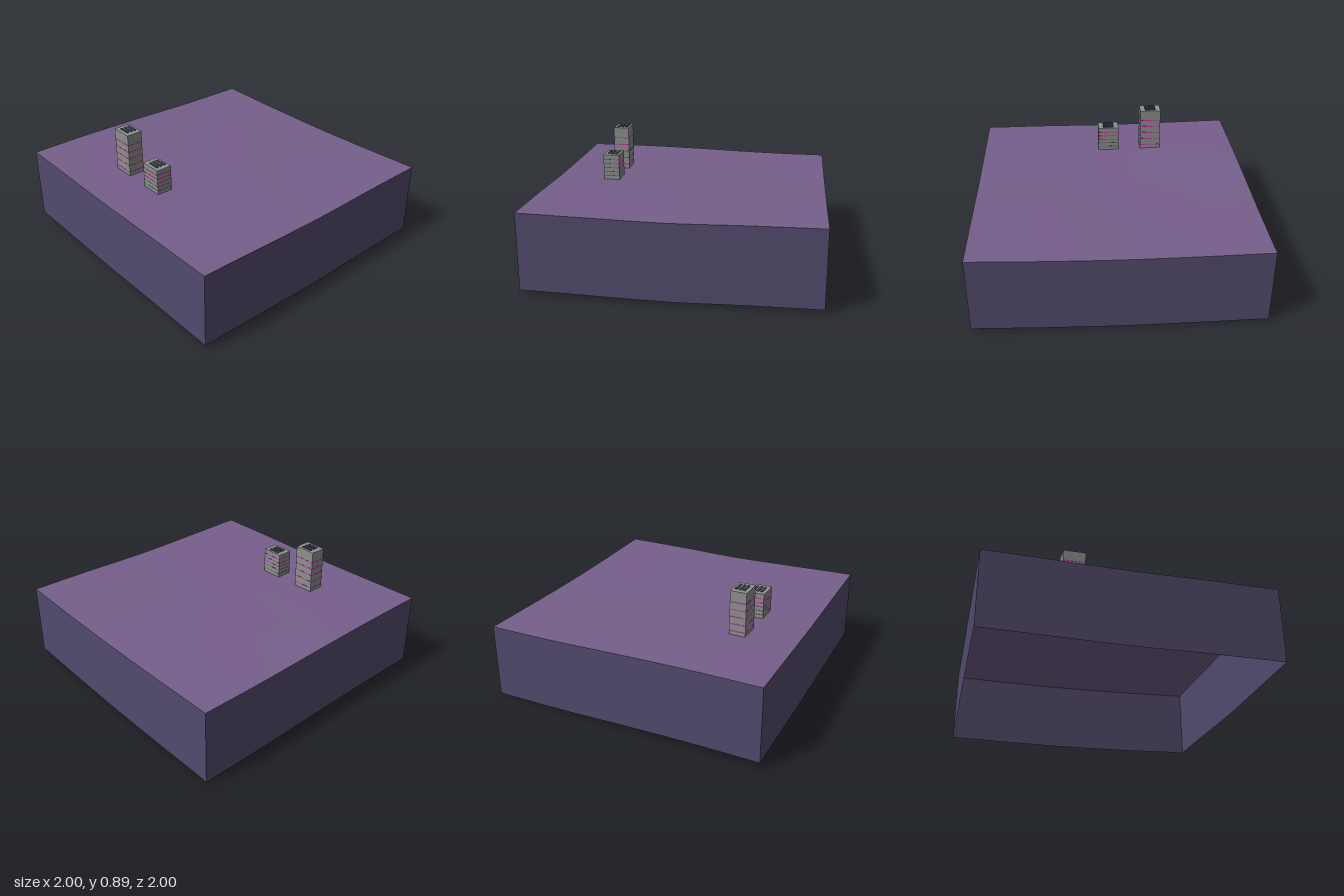
import * as THREE from 'three';

const mat = (name, color, side = THREE.FrontSide) => {
  const m = new THREE.MeshStandardMaterial({ color, side });
  m.name = name;
  return m;
};

// Height along each edge of the terrain, from -1 to 1
const edge = (...h) => {
  const curve = new THREE.SplineCurve(h.map((y, i) => new THREE.Vector2(i, y)));
  return (s) => curve.getPoint((s + 1) / 2).y;
};
const front = edge(0.567, 0.556, 0.547, 0.556, 0.56);
const back = edge(0.583, 0.581, 0.569, 0.553, 0.548);
const left = edge(0.583, 0.574, 0.566, 0.569, 0.567);
const right = edge(0.548, 0.54, 0.537, 0.545, 0.56);
const DEPTH = 0.537;

// Blend the four edges into one rolling surface
function height(x, z) {
  const u = (x + 1) / 2, v = (z + 1) / 2;
  const corners = (1 - v) * ((1 - u) * back(-1) + u * back(1)) + v * ((1 - u) * front(-1) + u * front(1));
  return (1 - u) * left(z) + u * right(z) + (1 - v) * back(x) + v * front(x) - corners;
}

export function createModel() {
  const model = new THREE.Group();
  const ground = mat('ground purple', 0x765f8b, THREE.DoubleSide);
  const soil = mat('soil violet', 0x524a6d, THREE.DoubleSide);
  const concrete = mat('concrete grey', 0x8c908e);
  const dark = mat('vent slate', 0x48485f);
  const lit = mat('neon pink', 0xc42fa8);
  const unlit = mat('unlit window grey', 0x626866);

  const add = (parent, name, geo, material, x = 0, y = 0, z = 0) => {
    const mesh = new THREE.Mesh(geo, material);
    mesh.name = name;
    mesh.position.set(x, y, z);
    parent.add(mesh);
    return mesh;
  };

  // Rolling terrain top
  const top = new THREE.PlaneGeometry(2, 2, 20, 20).rotateX(-Math.PI / 2);
  const p = top.attributes.position;
  for (let i = 0; i < p.count; i++) p.setY(i, height(p.getX(i), p.getZ(i)));
  top.computeVertexNormals();
  add(model, 'terrain', top, ground);

  // Four skirt walls following the terrain edge, open underneath
  ['frontWall', 'leftWall', 'backWall', 'rightWall'].forEach((name, k) => {
    const wall = new THREE.PlaneGeometry(2, 1, 20, 1).translate(0, 0, 1).rotateY(k * Math.PI / 2);
    const w = wall.attributes.position;
    for (let i = 0; i < w.count; i++) {
      const h = height(w.getX(i), w.getZ(i));
      w.setY(i, w.getY(i) > 0 ? h : h - DEPTH);
    }
    add(model, name, wall, soil);
  });

  // Tower with window bands and rooftop vents
  function tower(name, z, base, roof, bands) {
    const g = new THREE.Group();
    g.name = name;
    g.position.set(-0.59, 0, z);
    add(g, 'block', new THREE.BoxGeometry(0.118, roof - base, 0.16), concrete, 0, (roof + base) / 2, 0);
    for (const [y, material] of bands) {
      add(g, 'windowBand', new THREE.BoxGeometry(0.12, 0.006, 0.162), material, 0, y, 0);
    }
    for (const x of [-0.026, 0.003, 0.033]) {
      add(g, 'roofVent', new THREE.BoxGeometry(0.016, 0.008, 0.084), dark, x, roof + 0.003, 0);
    }
    model.add(g);
  }
  tower('shortTower', 0, 0.556, 0.747,
    [[0.588, unlit], [0.619, unlit], [0.649, lit], [0.68, lit], [0.711, lit]]);
  tower('tallTower', -0.335, 0.563, 0.887,
    [0.595, 0.648, 0.701, 0.754, 0.807].map((y) => [y, lit]));

  return model;
}
